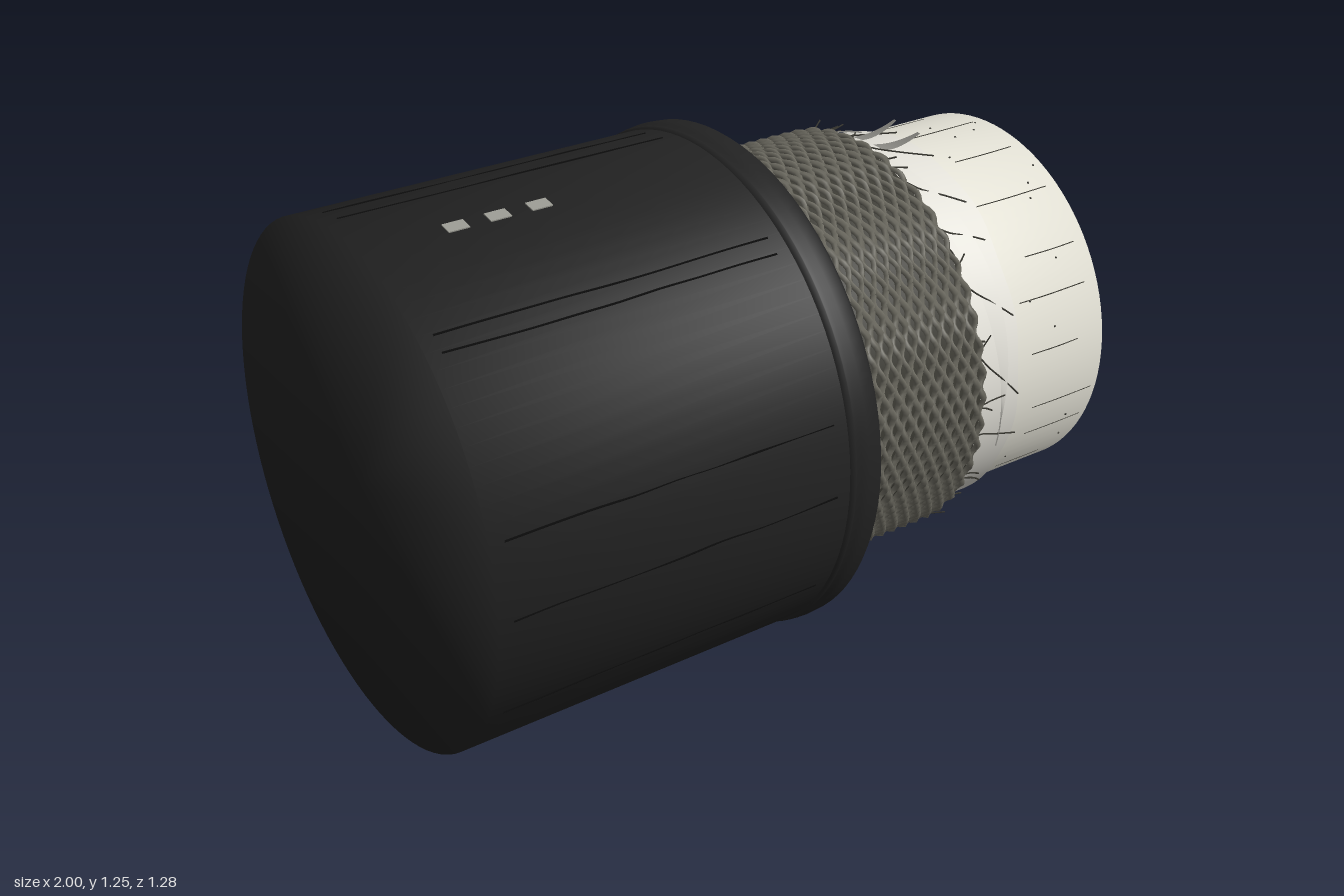
import * as THREE from 'three';
import { mergeGeometries } from 'three/addons/utils/BufferGeometryUtils.js';

const mat = (color, side = THREE.FrontSide) =>
  new THREE.MeshStandardMaterial({ color, side });

const black = mat(0x222222);
const ink = mat(0x0c0c0c);
const steel = mat(0x6e6c62);
const dark = mat(0x3a3932);
const foilMat = mat(0xe2e0d8, THREE.DoubleSide);
const white = mat(0xe8e6da);
const copper = mat(0xdb965e);
const grey = mat(0x9a9a92);

// Small seeded generator for the loose hairs and scratches
let seed = 7;
const rand = (a = 0, b = 1) => {
  seed = (seed * 16807) % 2147483647;
  return a + (b - a) * seed / 2147483647;
};

// Point at distance s along the cable, at radius r and angle t (0 = top, PI/2 = +z)
const polar = (s, r, t) => new THREE.Vector3(s, r * Math.cos(t), r * Math.sin(t));

// Profile of [radius, s] pairs turned around the x axis
function turned(profile, segments = 96) {
  const pts = profile.map(([r, s]) => new THREE.Vector2(r, s));
  return new THREE.LatheGeometry(pts, segments).rotateZ(-Math.PI / 2);
}

const wire = (points, radius, steps) =>
  new THREE.TubeGeometry(new THREE.CatmullRomCurve3(points), steps, radius, 4);

// Thin strip wound on the cable: rule(u, v) gives [s, r, t]
function woundStrip(rule, nu, nv) {
  const g = new THREE.PlaneGeometry(1, 1, nu, nv);
  const p = g.attributes.position;
  for (let i = 0; i < p.count; i++) {
    const v = polar(...rule(p.getX(i) + 0.5, p.getY(i) + 0.5));
    p.setXYZ(i, v.x, v.y, v.z);
  }
  g.computeVertexNormals();
  return g;
}

// Closed hoop of wire that weaves along the cable
class WovenHoop extends THREE.Curve {
  constructor(s, phase) {
    super();
    this.s = s;
    this.phase = phase;
  }
  getPoint(u, target = new THREE.Vector3()) {
    const t = u * Math.PI * 2, w = 48 * t + this.phase;
    return target.copy(polar(this.s + 0.006 * Math.sin(w), 0.509 + 0.004 * Math.cos(w), t));
  }
}

export function createModel() {
  seed = 7;
  const model = new THREE.Group();
  const cable = new THREE.Group();
  cable.name = 'cable';
  cable.position.set(0, 0.632, 0.014);
  cable.rotation.y = -0.042;
  model.add(cable);

  const add = (name, geometry, material) => {
    const mesh = new THREE.Mesh(geometry, material);
    mesh.name = name;
    cable.add(mesh);
    return mesh;
  };

  // Outer jacket with its rolled collar
  add('jacket', turned([[0, -0.975], [0.615, -0.975], [0.615, -0.05]]), black);
  add('jacketCollar', turned([
    [0.606, -0.092], [0.619, -0.088], [0.621, -0.076], [0.617, -0.071],
    [0.624, -0.064], [0.626, -0.045], [0.624, -0.014], [0.616, -0.003]
  ]), black);
  add('jacketFace', turned([[0.617, -0.003], [0.5, -0.003]]), black);

  // Fine lengthwise seams in the jacket
  const seams = [];
  for (const t of [-1.1, -0.62, -0.22, -0.1, 0.6, 0.67, 1.31, 1.6, 2.05, 2.6, 3.1, 3.7, 4.2, 4.7]) {
    const pts = [];
    for (let k = 0; k <= 8; k++)
      pts.push(polar(-0.94 + 0.102 * k, 0.613 + rand(0, 0.002), t + rand(-0.004, 0.004)));
    seams.push(wire(pts, 0.003, 24));
  }
  add('jacketSeams', mergeGeometries(seams), ink);

  // Three pale printed dashes
  for (const s of [-0.75, -0.65, -0.55]) {
    const t = 0.17;
    const dash = add('printedDash', new THREE.BoxGeometry(0.05, 0.004, 0.033), grey);
    dash.position.copy(polar(s, 0.6155, t));
    dash.rotation.x = t;
  }

  // Braided shield: dark core under rows of woven hoops
  add('braidCore', turned([[0.5, -0.01], [0.5, 0.395], [0.47, 0.395]]), dark);
  const hoops = [];
  for (let i = 0; i < 22; i++)
    hoops.push(new THREE.TubeGeometry(
      new WovenHoop(0.008 + i * 0.0182, (i % 2) * Math.PI), 288, 0.008, 4, true));
  add('braidHoops', mergeGeometries(hoops), steel);

  // Frayed wire ends of the braid
  const hairs = [];
  for (let i = 0; i < 64; i++) {
    const t = rand(0, Math.PI * 2);
    const length = rand(0.02, 0.07);
    const lift = rand(-0.018, 0.022);
    const twist = rand(-0.09, 0.09);
    hairs.push(wire([
      polar(0.39, 0.508, t),
      polar(0.39 + length * 0.5, 0.506 + lift * 0.3, t + twist * 0.4),
      polar(0.39 + length, 0.508 + lift, t + twist)
    ], 0.0022, 6));
  }
  // Longer strands lying across the foil
  for (let i = 0; i < 18; i++) {
    const t = i * Math.PI / 9 + rand(-0.1, 0.1);
    const twist = rand(0.08, 0.4);
    hairs.push(wire([
      polar(0.39, 0.505, t),
      polar(0.43, 0.491, t + twist * 0.3),
      polar(0.48, 0.489, t + twist * 0.65),
      polar(0.39 + rand(0.12, 0.16), 0.49, t + twist)
    ], 0.002, 12));
  }
  add('frayedWires', mergeGeometries(hairs), dark);

  // Foil sleeve with an uneven edge, and overlapping slanted wraps
  const edge = t => 0.537 + 0.007 * Math.sin(3 * t) + 0.004 * Math.sin(11 * t + 1);
  add('foilSleeve', woundStrip((u, v) => {
    const t = u * Math.PI * 2;
    return [0.38 + v * (edge(t) - 0.38), 0.484 + 0.002 * Math.sin(5 * t), t];
  }, 120, 3), foilMat);
  for (let k = 0; k < 3; k++) {
    add('foilWrap', woundStrip((u, v) => {
      const t = k * 2.1 + u * 1.9;
      return [0.39 + u * 0.1 + v * 0.055 * Math.sin(Math.PI * Math.min(1, u + 0.1)),
        0.488 + 0.004 * v, t];
    }, 40, 2), foilMat);
  }

  // Torn foil flakes curling outward at top and bottom
  for (const t of [0.05, -0.12, 3.05, 3.25]) {
    add('foilFlake', woundStrip((u, v) => [
      0.45 + 0.08 * u, 0.488 + 0.042 * u * u, t + (v - 0.5) * 0.09 * (1 - 0.8 * u) + u * 0.1
    ], 10, 2), mat(0x8d8c86, THREE.DoubleSide));
  }

  // White insulating core with fine scratches and specks
  add('insulator', turned([[0.467, 0.3], [0.467, 0.825], [0, 0.825]]), white);
  const marks = [];
  for (let i = 0; i < 22; i++) {
    const t = i * Math.PI / 11 + rand(-0.08, 0.08);
    const s = rand(0.55, 0.64);
    marks.push(wire([polar(s, 0.4665, t), polar(s + 0.09, 0.4668, t + 0.003),
      polar(rand(0.74, 0.81), 0.4665, t)], 0.0016, 8));
  }
  for (let i = 0; i < 30; i++) {
    const p = polar(rand(0.56, 0.81), 0.467, rand(0, Math.PI * 2));
    marks.push(new THREE.SphereGeometry(0.003, 6, 4).translate(p.x, p.y, p.z));
  }
  add('insulatorMarks', mergeGeometries(marks), dark);

  // Copper conductor
  add('conductor', turned([[0.185, 0.8], [0.185, 0.989], [0, 0.989]], 64), copper);
  const lines = [];
  for (const t of [0.3, 1.15, 1.9, 2.8, 4.1, 5.2])
    lines.push(wire([polar(0.83, 0.1845, t), polar(0.97, 0.1845, t)], 0.0014, 4));
  add('conductorScratches', mergeGeometries(lines), mat(0x6b4326));

  return model;
}
